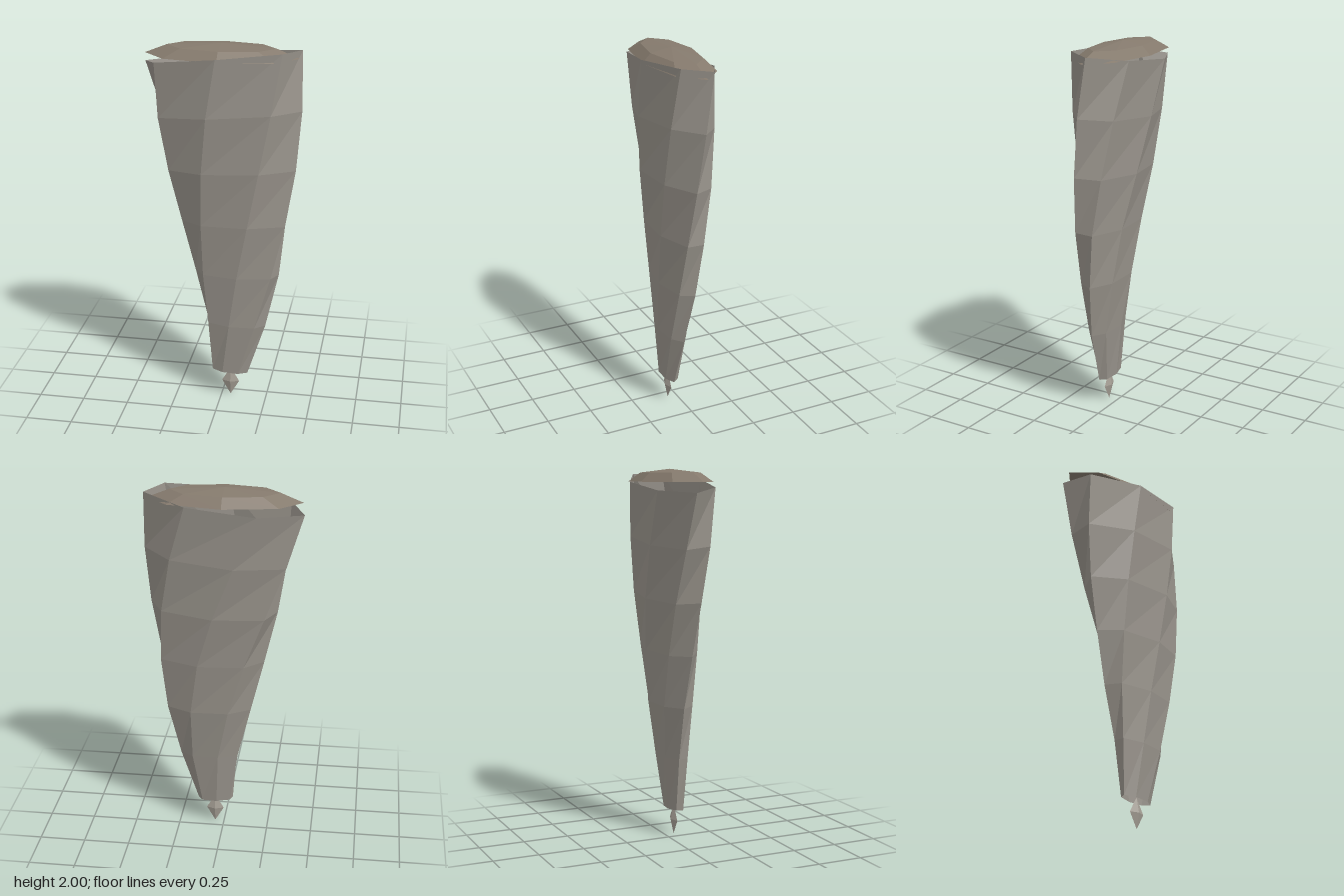
import * as THREE from 'three';

const mat = (name, color) => {
  const m = new THREE.MeshStandardMaterial({ color, flatShading: true, side: THREE.DoubleSide });
  m.name = name;
  return m;
};

// Cross-sections from bottom to top: centre y, centre x, centre z, radius x, radius z
const RINGS = [
  [0.15, 0.046, 0.051, 0.10, 0.041],
  [0.445, 0.074, 0.048, 0.166, 0.063],
  [0.74, 0.08, 0.036, 0.234, 0.089],
  [1.035, 0.073, 0.03, 0.293, 0.111],
  [1.33, 0.05, 0.02, 0.346, 0.137],
  [1.63, 0.02, 0.012, 0.39, 0.155],
  [1.93, -0.01, 0, 0.42, 0.165],
];
const SIDES = 7;

// Seven-sided tapering shaft, twisted 12 degrees per ring, with rings tilting more towards the top
function shaftGeometry() {
  const pos = [], index = [];
  RINGS.forEach(([cy, cx, cz, rx, rz], j) => {
    const t = j / (RINGS.length - 1);
    for (let i = 0; i < SIDES; i++) {
      const a = (i / SIDES) * Math.PI * 2 + THREE.MathUtils.degToRad(60 - 12 * j + 0) - 0.0;
      const dx = Math.cos(a) * rx, dz = Math.sin(a) * rz;
      pos.push(cx + dx, cy + dx * (0.17 * t - 0.06) + dz * 0.13 * t, cz + dz);
    }
  });
  for (let j = 0; j < RINGS.length - 1; j++) {
    for (let i = 0; i < SIDES; i++) {
      const n = (i + 1) % SIDES;
      const a = j * SIDES + i, b = j * SIDES + n, c = a + SIDES, d = b + SIDES;
      index.push(a, c, b, b, c, d);
    }
  }
  const g = new THREE.BufferGeometry();
  g.setAttribute('position', new THREE.Float32BufferAttribute(pos, 3));
  g.setIndex(index);
  const flat = g.toNonIndexed();
  flat.computeVertexNormals();
  return flat;
}

export function createModel() {
  const group = new THREE.Group();
  const add = (name, geometry, material) => {
    const mesh = new THREE.Mesh(geometry, material);
    mesh.name = name;
    group.add(mesh);
    return mesh;
  };

  add('stoneShaft', shaftGeometry(), mat('greyStone', 0x98938b));

  // Shallow faceted dome over the wide end
  const dome = new THREE.SphereGeometry(1, 8, 2, 0, Math.PI * 2, 0, Math.PI / 2);
  dome.scale(0.4, 0.067, 0.163);
  add('topDome', dome, mat('brownStone', 0x857a6d)).position.set(-0.01, 1.933, 0);

  // Pointed drip hanging under the narrow end
  const drip = new THREE.OctahedronGeometry(1);
  drip.scale(0.048, 0.084, 0.017);
  add('dripTip', drip, mat('paleStone', 0xa59f95)).position.set(0.05, 0.084, 0.052);

  return group;
}
